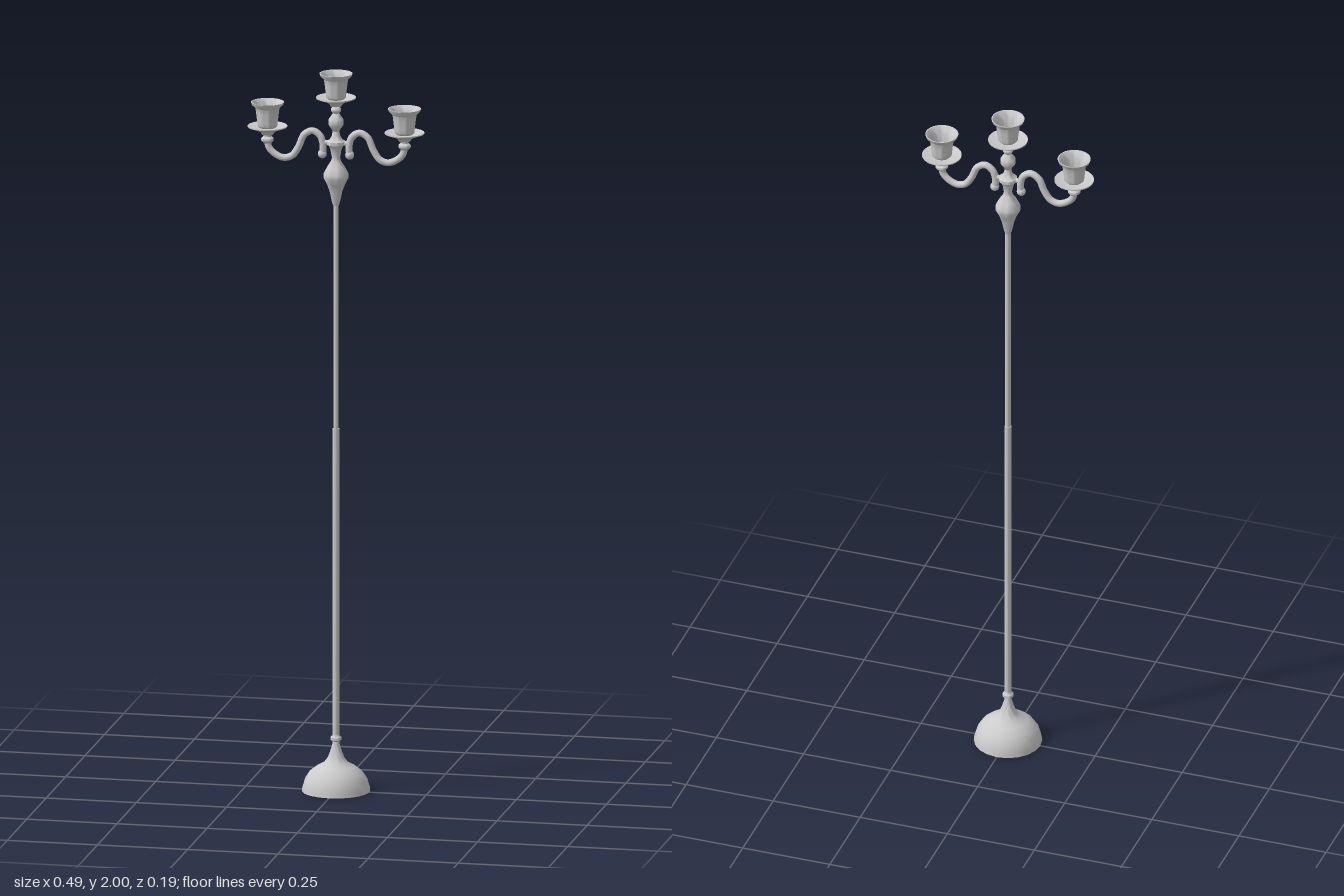
import * as THREE from 'three';
import { toCreasedNormals } from 'three/addons/utils/BufferGeometryUtils.js';

const material = new THREE.MeshStandardMaterial({ color: 0xcccccc, side: THREE.DoubleSide });

function add(parent, name, geometry) {
  const mesh = new THREE.Mesh(geometry, material);
  mesh.name = name;
  parent.add(mesh);
  return mesh;
}

// Turned part from [radius, height] pairs, listed bottom to top
function turned(parent, name, profile, sides = 24) {
  const points = profile.map(([r, y]) => new THREE.Vector2(r, y));
  return add(parent, name, toCreasedNormals(new THREE.LatheGeometry(points, sides), 0.7));
}

// Candle cup with drip plate; its rim is at y = 0
function candleHolder(name, x, y) {
  const holder = new THREE.Group();
  holder.name = name;
  turned(holder, 'dripPlate', [
    [0, -0.093], [0.015, -0.091], [0.02, -0.083], [0.032, -0.077], [0.054, -0.069],
    [0.054, -0.066], [0.034, -0.071], [0, -0.072],
  ], 28);
  turned(holder, 'candleCup', [
    [0, -0.074], [0.02, -0.073], [0.027, -0.066], [0.028, -0.055], [0.031, -0.03], [0.033, -0.016],
    [0.043, -0.007], [0.045, 0], [0.042, 0], [0.033, -0.011], [0.029, -0.02], [0.026, -0.05], [0, -0.05],
  ], 28);
  holder.position.set(x, y, 0);
  return holder;
}

// Scrolled arm reaching towards +x
function arm(name) {
  const group = new THREE.Group();
  group.name = name;
  const path = new THREE.CatmullRomCurve3([
    [0.037, 1.775], [0.036, 1.797], [0.044, 1.824], [0.065, 1.837], [0.088, 1.825], [0.104, 1.79],
    [0.122, 1.765], [0.145, 1.758], [0.170, 1.768], [0.186, 1.785], [0.19, 1.806],
  ].map(([x, y]) => new THREE.Vector3(x, y, 0)));
  add(group, 'scroll', new THREE.TubeGeometry(path, 56, 0.0095, 12));
  add(group, 'scrollEnd', new THREE.SphereGeometry(0.0125, 14, 10)).position.set(0.038, 1.774, 0);
  const link = add(group, 'link', new THREE.CylinderGeometry(0.007, 0.007, 0.03, 10));
  link.rotation.z = Math.PI / 2;
  link.position.set(0.025, 1.806, 0);
  turned(group, 'armCollar', [
    [0, 1.796], [0.011, 1.797], [0.017, 1.804], [0.017, 1.81], [0.011, 1.815], [0.011, 1.822], [0, 1.822],
  ]).position.x = 0.19;
  group.add(candleHolder('sideCandleHolder', 0.19, 1.911));
  return group;
}

export function createModel() {
  const model = new THREE.Group();
  model.name = 'candelabra';

  // Domed foot with its neck ring
  turned(model, 'foot', [
    [0, 0], [0.093, 0], [0.092, 0.01], [0.085, 0.033], [0.072, 0.053], [0.053, 0.068], [0.033, 0.079],
    [0.023, 0.092], [0.016, 0.11], [0.010, 0.13], [0.009, 0.138], [0.015, 0.142], [0.015, 0.149],
    [0.010, 0.154], [0.009, 0.16],
  ], 20);

  // Two-piece pole
  turned(model, 'lowerPole', [[0.0095, 0.155], [0.0095, 1.01], [0, 1.01]], 16);
  turned(model, 'upperPole', [[0.0075, 1.0], [0.0075, 1.65]], 16);

  // Baluster, arm socket and upper bead
  turned(model, 'baluster', [
    [0.008, 1.632], [0.012, 1.645], [0.017, 1.67], [0.025, 1.692], [0.034, 1.709], [0.034, 1.72],
    [0.025, 1.738], [0.014, 1.755], [0.011, 1.765], [0.015, 1.787], [0.02, 1.799], [0.025, 1.802],
    [0.025, 1.811], [0.018, 1.815], [0.012, 1.825], [0.009, 1.839], [0.013, 1.846], [0.021, 1.858],
    [0.021, 1.871], [0.013, 1.882], [0.009, 1.889], [0.014, 1.896], [0.014, 1.901], [0.010, 1.907], [0, 1.91],
  ]);
  model.add(candleHolder('centreCandleHolder', 0, 2));

  // Mirrored arms
  const left = arm('leftArm');
  const right = arm('rightArm');
  right.rotation.y = Math.PI;
  model.add(left, right);

  return model;
}
